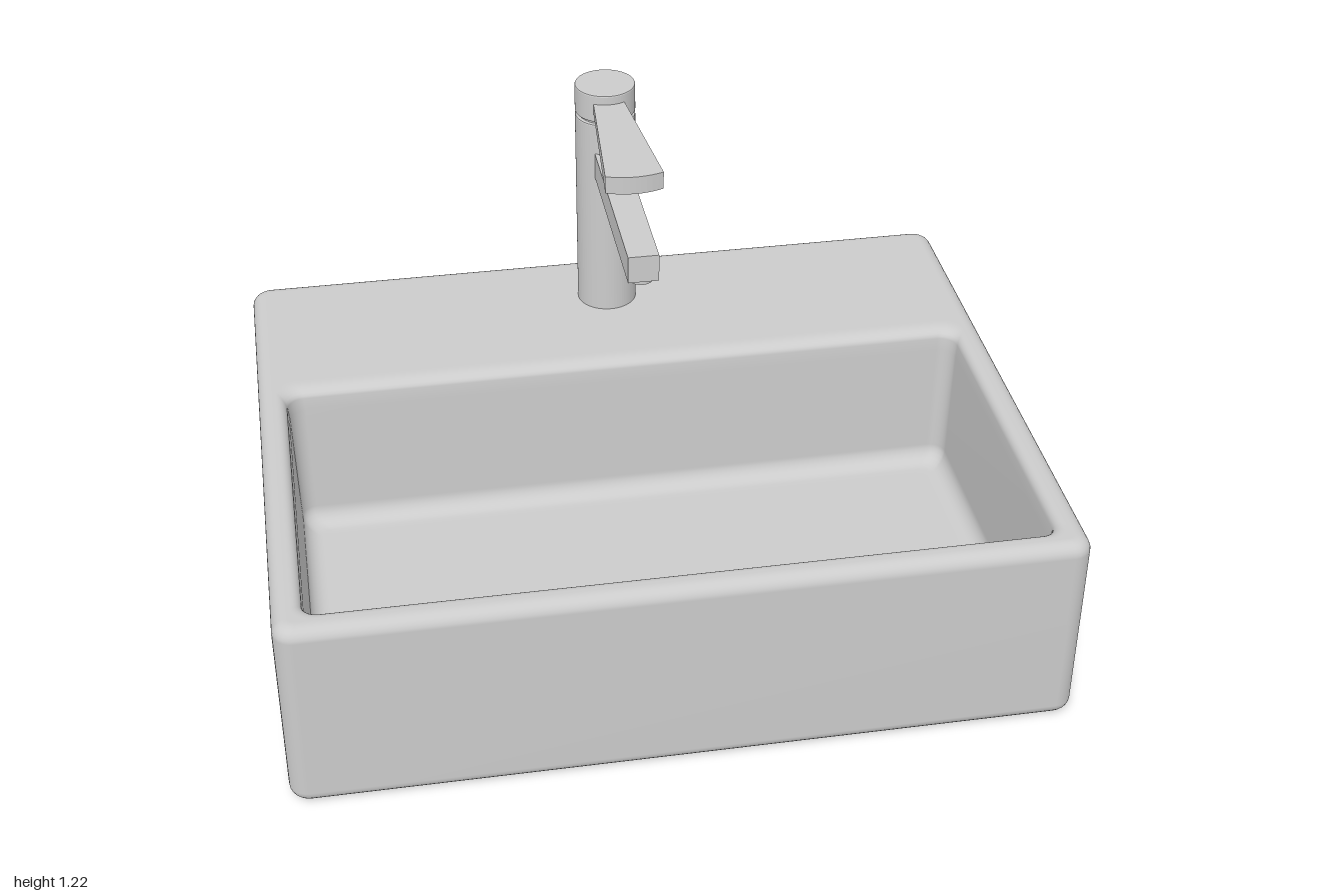
import * as THREE from 'three';

const material = new THREE.MeshStandardMaterial({ color: 0xcccccc, roughness: 0.6 });
const AXIS_Z = -0.57; // tap column position
const DECK = 0.55;

function add(group, name, geometry, x = 0, y = 0, z = 0) {
  const mesh = new THREE.Mesh(geometry, material);
  mesh.name = name;
  mesh.position.set(x, y, z);
  group.add(mesh);
  return mesh;
}

// Horizontal rounded rectangle at height y
function ring(hx, zBack, zFront, r, y) {
  const steps = 6, points = [];
  const corners = [[hx - r, zFront - r], [r - hx, zFront - r], [r - hx, zBack + r], [hx - r, zBack + r]];
  corners.forEach(([cx, cz], k) => {
    for (let i = 0; i <= steps; i++) {
      const a = (k + i / steps) * Math.PI / 2;
      points.push([cx + r * Math.cos(a), y, cz + r * Math.sin(a)]);
    }
  });
  return points;
}

// Skin joining successive rings, closed at both ends by a centre point
function loft(rings) {
  const n = rings[0].length, last = (rings.length - 1) * n;
  const positions = rings.flat(2), index = [];
  for (let k = 0; k < rings.length - 1; k++) {
    for (let j = 0; j < n; j++) {
      const a = k * n + j, b = k * n + (j + 1) % n;
      index.push(a, a + n, b, b, a + n, b + n);
    }
  }
  const centre = (r) => [0, r[0][1], (r[0][2] + r[n - 1][2]) / 2];
  positions.push(...centre(rings[0]), ...centre(rings[rings.length - 1]));
  const start = rings.length * n;
  for (let j = 0; j < n; j++) {
    const next = (j + 1) % n;
    index.push(start, j, next, start + 1, last + next, last + j);
  }
  const geometry = new THREE.BufferGeometry();
  geometry.setAttribute('position', new THREE.Float32BufferAttribute(positions, 3));
  geometry.setIndex(index);
  geometry.computeVertexNormals();
  return geometry;
}

function basinGeometry() {
  const rings = [], arc = 6, floor = 0.12;
  const outer = (d, y) => rings.push(ring(1 - d, d - 0.775, 0.775 - d, 0.05 - d * 0.8, y));
  const inner = (d, y, back = d) => rings.push(ring(0.925 - d, back - 0.22, 0.7 - d, 0.045 - d * 0.3, y));
  const sweep = (fn) => {
    for (let i = 0; i <= arc; i++) {
      const a = (i / arc) * Math.PI / 2;
      fn(Math.sin(a), Math.cos(a));
    }
  };
  const r = 0.035, lip = 0.025, cove = 0.05;
  // underside and outer wall
  outer(0.06, 0);
  sweep((s, c) => outer(r * (1 - s), r * (1 - c)));
  sweep((s, c) => outer(r * (1 - c), DECK - r * (1 - s)));
  // rim, rolling over into the bowl
  outer(0.04, DECK);
  inner(-lip - 0.005, DECK, -0.055);
  sweep((s, c) => inner(-lip * (1 - s), DECK - lip * (1 - c), -0.045 * (1 - s)));
  // bowl wall and coved floor
  inner(0.003, DECK - 0.06);
  sweep((s, c) => inner(0.01 + cove * (1 - c), floor + cove * (1 - s)));
  inner(0.08, floor);
  return loft(rings);
}

// Upright cylinder with a slim bevel on both ends
function bevelledCylinder(radius, y0, y1, bevel) {
  const shape = new THREE.Shape().absarc(0, 0, radius - bevel, 0, Math.PI * 2);
  const geometry = new THREE.ExtrudeGeometry(shape, {
    depth: y1 - y0 - 2 * bevel, bevelEnabled: true, bevelThickness: bevel,
    bevelSize: bevel, bevelSegments: 2, curveSegments: 32,
  });
  return geometry.rotateX(-Math.PI / 2).translate(0, y0 + bevel, 0);
}

// Flared lever plate with a gently bowed tip, thickening toward the tip
function leverGeometry() {
  const zBack = -0.55, zTip = -0.085;
  const shape = new THREE.Shape();
  shape.moveTo(-0.038, -zBack);
  shape.lineTo(-0.075, -zTip);
  shape.quadraticCurveTo(0, -zTip - 0.03, 0.075, -zTip);
  shape.lineTo(0.038, -zBack);
  shape.closePath();
  const geometry = new THREE.ExtrudeGeometry(shape, { depth: 1, bevelEnabled: false, curveSegments: 10 });
  geometry.rotateX(-Math.PI / 2);
  const p = geometry.attributes.position;
  for (let i = 0; i < p.count; i++) {
    const t = (p.getZ(i) - zBack) / (zTip - zBack);
    const half = 0.013 + 0.011 * t;
    p.setY(i, 1.18 + (p.getY(i) > 0.5 ? half : -half));
  }
  geometry.computeVertexNormals();
  return geometry;
}

export function createModel() {
  const model = new THREE.Group();
  model.name = 'washbasinWithTap';
  add(model, 'basin', basinGeometry());

  const tap = new THREE.Group();
  tap.name = 'tap';
  model.add(tap);
  add(tap, 'column', bevelledCylinder(0.082, DECK - 0.01, 1.132, 0.004), 0, 0, AXIS_Z);
  add(tap, 'neck', new THREE.CylinderGeometry(0.072, 0.072, 0.03, 32), 0, 1.137, AXIS_Z);
  add(tap, 'cap', bevelledCylinder(0.082, 1.14, 1.22, 0.004), 0, 0, AXIS_Z);
  add(tap, 'lever', leverGeometry());

  // spout reaching forward from the column
  const spoutBack = -0.53, spoutTip = 0.053;
  add(tap, 'spout', new THREE.BoxGeometry(0.08, 0.075, spoutTip - spoutBack),
    0, 1.007, (spoutBack + spoutTip) / 2);
  add(tap, 'aerator', new THREE.CylinderGeometry(0.031, 0.031, 0.03, 24), 0, 0.968, 0.01);
  return model;
}
